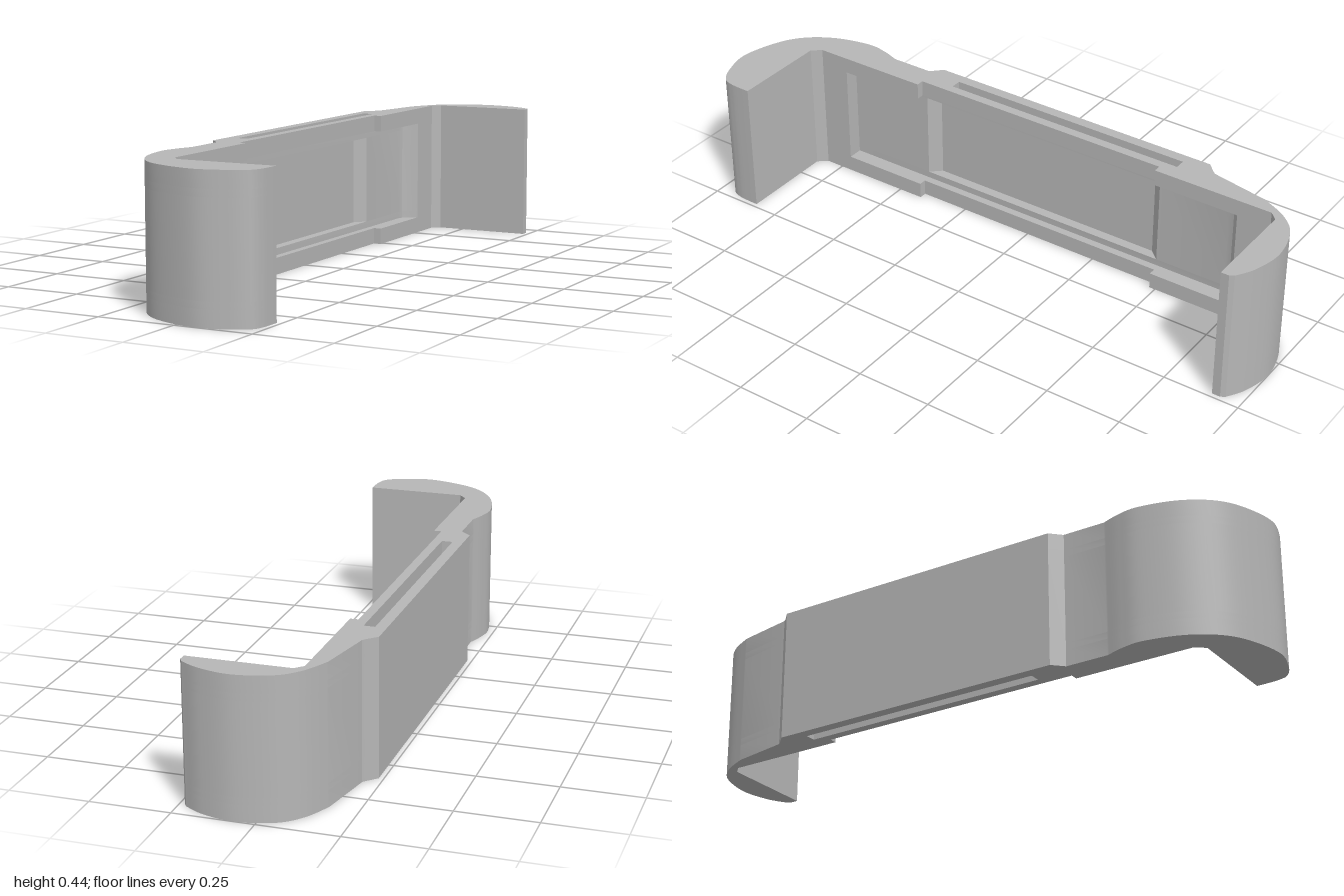
import * as THREE from 'three';
import { toCreasedNormals } from 'three/addons/utils/BufferGeometryUtils.js';

// Points are [x, z] in plan.
const v = ([x, z]) => new THREE.Vector2(x, -z);

function curve(points, divisions) {
  return new THREE.SplineCurve(points.map(v)).getPoints(divisions);
}

// Plan of the clip; `recess` is the run of points cut into the inner face
function planShape(recess) {
  const outer = [
    // rear hook
    ...[[0.235, -0.905], [0.235, -0.932]].map(v),
    ...curve([[0.226, -0.946], [0.164, -0.98], [0.063, -1], [-0.05, -0.973], [-0.116, -0.915], [-0.16, -0.83]], 36),
    // raised back plate
    ...[[-0.197, -0.64], [-0.203, -0.632], [-0.235, -0.6], [-0.235, 0.4], [-0.2, 0.435]].map(v),
    // front hook
    ...curve([[-0.2, 0.575], [-0.22, 0.635], [-0.228, 0.705], [-0.2, 0.82], [-0.143, 0.91], [-0.063, 0.965],
      [0.063, 1], [0.16, 0.98], [0.215, 0.95], [0.231, 0.915], [0.235, 0.87]], 56),
    ...[[0.235, 0.84], [-0.085, 0.84], [-0.11, 0.81]].map(v),
  ];
  const inner = [...recess, [-0.11, -0.88], [-0.085, -0.905]].map(v);
  return new THREE.Shape([...outer, ...inner]);
}

export function createModel() {
  const group = new THREE.Group();
  const grey = new THREE.MeshStandardMaterial({ color: 0xb6b6b6 });
  grey.name = 'grey';

  function addBand(name, shape, y0, y1) {
    let geometry = new THREE.ExtrudeGeometry(shape, { depth: y1 - y0, bevelEnabled: false });
    geometry.rotateX(-Math.PI / 2);
    geometry.translate(0, y0, 0);
    geometry = toCreasedNormals(geometry, 0.4);
    const mesh = new THREE.Mesh(geometry, grey);
    mesh.name = name;
    group.add(mesh);
  }

  // Rim: inner face with a shallow step, and a narrow slot in the edge
  const rim = planShape([[-0.11, 0.415], [-0.135, 0.415], [-0.135, -0.48], [-0.11, -0.48]]);
  rim.holes.push(new THREE.Path([[-0.2, -0.525], [-0.165, -0.525], [-0.165, 0.315], [-0.2, 0.315]].map(v)));

  // Wide recess, whose rear end curves up to the inner face
  const rearEnd = [[-0.16, -0.715], [-0.155, -0.735], [-0.143, -0.75], [-0.11, -0.768]];
  const wide = planShape([[-0.11, 0.71], [-0.16, 0.71], ...rearEnd]);

  // Deeper tray with sloping ends
  const deep = planShape([[-0.11, 0.71], [-0.16, 0.71], [-0.16, 0.415], [-0.192, 0.38],
    [-0.192, -0.437], [-0.16, -0.472], ...rearEnd]);

  addBand('lowerRim', rim, 0, 0.053);
  addBand('lowerRecessLedge', wide, 0.053, 0.075);
  addBand('middleBody', deep, 0.075, 0.362);
  addBand('upperRecessLedge', wide, 0.362, 0.385);
  addBand('upperRim', rim, 0.385, 0.438);

  return group;
}
